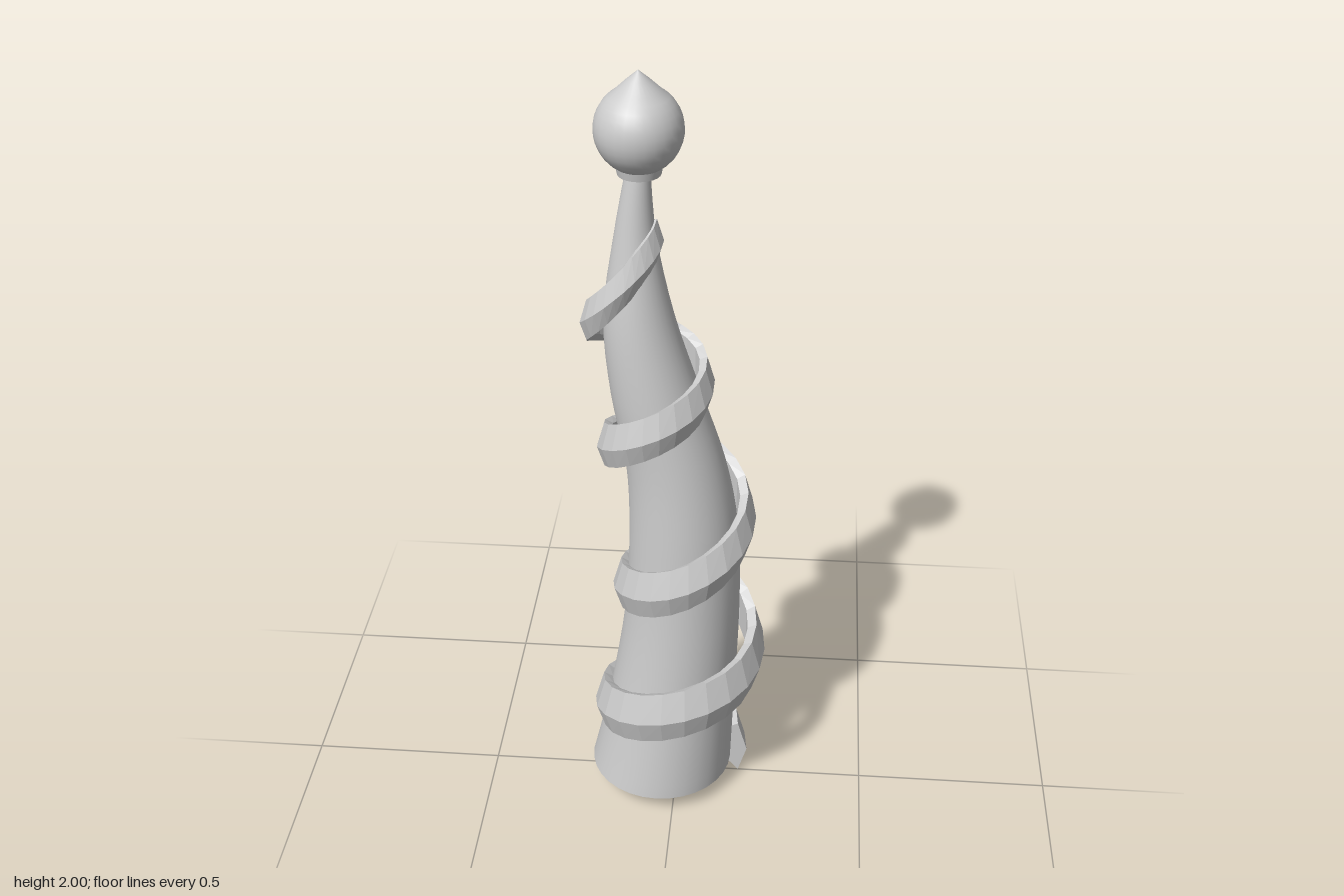
import * as THREE from 'three';

// Smooth lookup in a list of evenly spaced values
function sample(list, t) {
  const i = Math.min(Math.floor(t), list.length - 2), f = t - i;
  const at = (k) => list[Math.max(0, Math.min(list.length - 1, k))];
  const a = at(i - 1), b = at(i), c = at(i + 1), d = at(i + 2);
  return b + 0.5 * f * (c - a + f * (2 * a - 5 * b + 4 * c - d + f * (3 * (b - c) + d - a)));
}

// Skin a surface through rings of points
function loft(rings, capped) {
  const n = rings[0].length, pos = [], idx = [];
  rings.forEach((ring) => ring.forEach((p) => pos.push(...p)));
  for (let i = 0; i < rings.length - 1; i++) {
    for (let j = 0; j < n; j++) {
      const a = i * n + j, b = i * n + (j + 1) % n;
      idx.push(a, a + n, b, b, a + n, b + n);
    }
  }
  if (capped) {
    const e = (rings.length - 1) * n;
    for (let j = 1; j < n - 1; j++) idx.push(0, j, j + 1, e, e + j + 1, e + j);
  }
  const geo = new THREE.BufferGeometry();
  geo.setAttribute('position', new THREE.Float32BufferAttribute(pos, 3));
  geo.setIndex(idx);
  geo.computeVertexNormals();
  return geo;
}

export function createModel() {
  const group = new THREE.Group();
  const grey = new THREE.MeshStandardMaterial({ color: 0xcccccc, side: THREE.DoubleSide });
  const faceted = grey.clone();
  faceted.flatShading = true;
  const add = (name, geo, mat = grey) => {
    const mesh = new THREE.Mesh(geo, mat);
    mesh.name = name;
    group.add(mesh);
    return mesh;
  };

  // Bent, tapering shaft, open underneath: height, centre x, radius
  const levels = [
    [0.05, -0.042, 0.187], [0.27, -0.014, 0.166], [0.55, 0.013, 0.148],
    [0.8, 0.017, 0.138], [1.0, -0.003, 0.123], [1.2, -0.052, 0.108],
    [1.4, -0.09, 0.084], [1.6, -0.097, 0.05], [1.77, -0.088, 0.028],
  ];
  const column = (k) => levels.map((l) => l[k]);
  const shaft = [];
  for (let i = 0; i <= 32; i++) {
    const t = i / 4, y = sample(column(0), t), cx = sample(column(1), t), r = sample(column(2), t);
    shaft.push(Array.from({ length: 32 }, (_, j) => {
      const a = j / 32 * Math.PI * 2;
      return [cx + r * Math.cos(a), y, -r * Math.sin(a)];
    }));
  }
  // rings run anticlockwise from above, so reverse them for outward faces
  add('shaft', loft(shaft.map((r) => r.slice().reverse())));

  // Ribbon winding four times round the shaft, one value per quarter turn
  const height = [0.08, 0.15, 0.24, 0.34, 0.43, 0.55, 0.63, 0.72, 0.85, 0.97, 1.05, 1.15, 1.24, 1.31, 1.38, 1.5, 1.6];
  const radius = [0.21, 0.207, 0.215, 0.212, 0.212, 0.2, 0.189, 0.178, 0.188, 0.16, 0.171, 0.155, 0.15, 0.112, 0.13, 0.092, 0.1];
  const centre = [-0.02, -0.015, -0.005, 0.005, 0.018, 0.028, 0.024, 0.018, 0.01, 0, -0.024, -0.05, -0.06, -0.075, -0.1, -0.125, -0.13];
  // section: depth inward, height, with a ridge on the outside
  const section = [[1, 0.45], [0.5, 0.53], [0, -0.03], [0.45, -0.5], [1, -0.3]];
  const ribbon = [];
  const steps = 88;
  for (let i = 0; i <= steps; i++) {
    const t = i / steps * 16, a = t * Math.PI / 2, f = i / steps;
    const h = 0.16 - 0.065 * f, depth = 0.05 - 0.018 * f;
    ribbon.push(section.map(([d, v]) => {
      const r = sample(radius, t) - d * depth;
      return [sample(centre, t) + r * Math.cos(a), sample(height, t) + v * h, -r * Math.sin(a)];
    }));
  }
  add('spiralRibbon', loft(ribbon, true), faceted);

  // Collar, ball and pointed tip
  const collar = add('collar', new THREE.CylinderGeometry(0.055, 0.05, 0.025, 24));
  collar.position.set(-0.085, 1.772, 0);
  const profile = [];
  for (let i = 0; i <= 14; i++) {
    const a = -Math.PI / 2 + i / 14 * Math.PI * 0.82;
    profile.push(new THREE.Vector2(Math.max(0, 0.102 * Math.cos(a)), 0.102 * Math.sin(a)));
  }
  profile.push(new THREE.Vector2(0.026, 0.113), new THREE.Vector2(0, 0.135));
  const ball = add('ballFinial', new THREE.LatheGeometry(profile, 28));
  ball.position.set(-0.085, 1.865, 0);

  return group;
}
